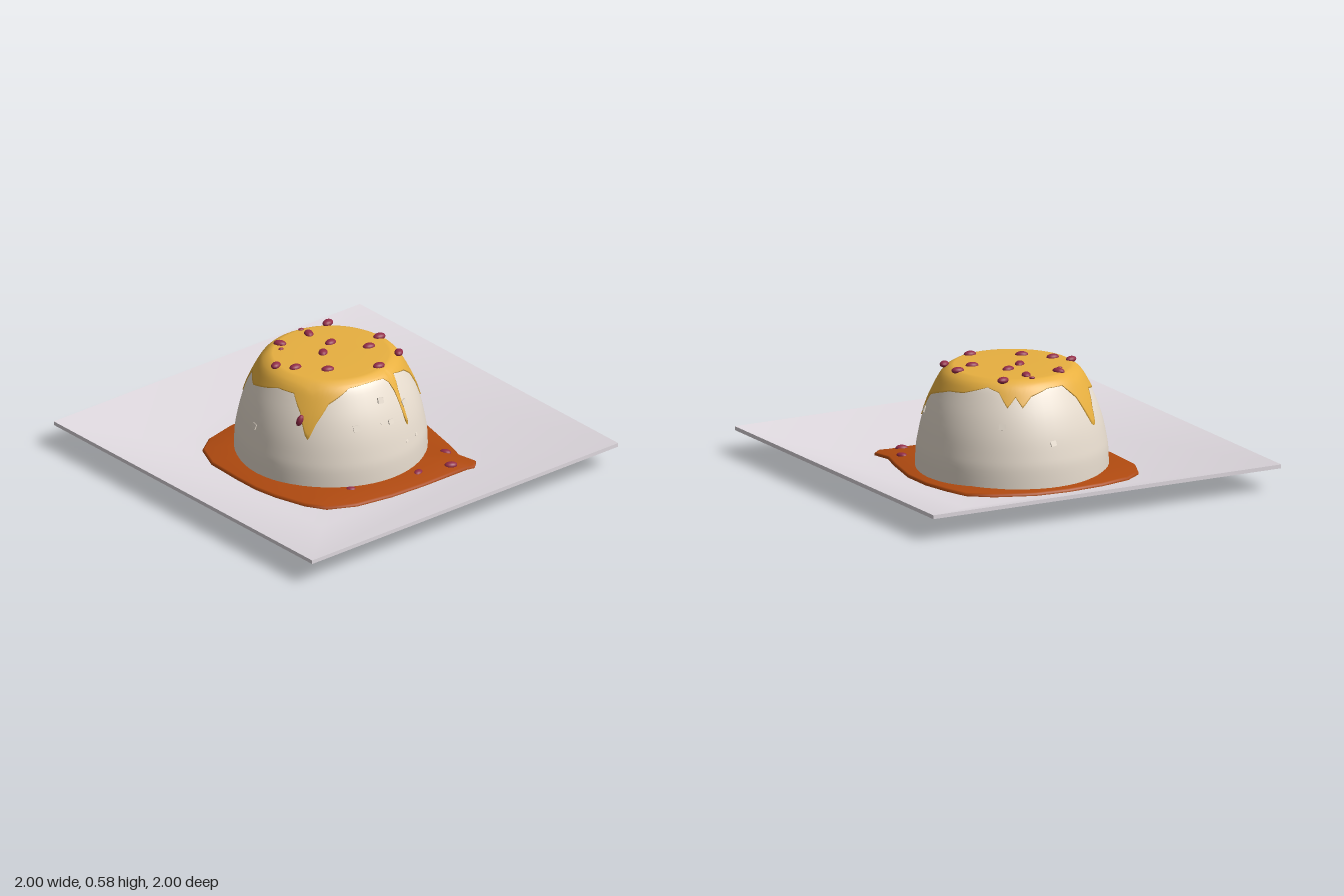
import * as THREE from 'three';

const CZ = -0.04; // pudding centre along z
const rad = THREE.MathUtils.degToRad;
const V = (x, y, z) => new THREE.Vector3(x, y, z);
const mat = (color) => new THREE.MeshStandardMaterial({ color, roughness: 0.7 });

// Piecewise linear lookup in [[key, value], ...]
function lookup(table, k) {
  let i = 1;
  while (i < table.length - 1 && table[i][0] < k) i++;
  const [k0, v0] = table[i - 1], [k1, v1] = table[i];
  return THREE.MathUtils.lerp(v0, v1, THREE.MathUtils.clamp((k - k0) / (k1 - k0), 0, 1));
}

// Skin closed rings, ordered from the outer bottom up and inwards
function loft(rings) {
  const n = rings[0].length, idx = [];
  for (let i = 0; i < rings.length - 1; i++) {
    for (let j = 0; j < n; j++) {
      const a = i * n + j, b = i * n + (j + 1) % n;
      idx.push(a, b, b + n, a, b + n, a + n);
    }
  }
  const g = new THREE.BufferGeometry().setFromPoints(rings.flat());
  g.setIndex(idx);
  g.computeVertexNormals();
  return g;
}

// Pudding wall: height -> radius
const wall = new THREE.SplineCurve(
  [[0.485, 0.02], [0.482, 0.13], [0.472, 0.2], [0.45, 0.3], [0.415, 0.4], [0.365, 0.5], [0.335, 0.54], [0.305, 0.559]]
    .map(([r, y]) => new THREE.Vector2(r, y))
).getPoints(28);
const wallTable = wall.map((p) => [p.y, p.x]);
const radiusAt = (y) => lookup(wallTable, y);

// Lower edge of the topping: angle from the front towards +x -> height
const dripEdge = [
  [0, 0.54], [9, 0.535], [13, 0.51], [15, 0.46], [16, 0.31], [17, 0.29], [18, 0.31], [19, 0.46], [23, 0.53],
  [40, 0.5], [50, 0.45], [55, 0.38], [57, 0.31], [58, 0.3], [59, 0.31], [61, 0.38], [66, 0.42], [80, 0.45],
  [95, 0.48], [110, 0.49], [130, 0.53], [140, 0.51], [147, 0.44], [153, 0.49], [158, 0.44], [165, 0.49],
  [180, 0.52], [195, 0.52], [205, 0.45], [210, 0.36], [213, 0.31], [215, 0.3], [217, 0.31], [220, 0.38],
  [228, 0.46], [245, 0.44], [260, 0.47], [275, 0.5], [290, 0.5], [298, 0.42], [303, 0.32], [305, 0.3],
  [306, 0.31], [310, 0.38], [318, 0.47], [335, 0.535], [350, 0.54], [360, 0.54],
];

// Sauce pool outline as x, z
const poolOutline = [
  [-0.57, -0.1], [-0.56, -0.3], [-0.5, -0.44], [-0.4, -0.51], [-0.23, -0.55], [-0.03, -0.565], [0.15, -0.55],
  [0.35, -0.47], [0.46, -0.38], [0.5, -0.25], [0.53, -0.1], [0.53, 0.08], [0.48, 0.3], [0.44, 0.44],
  [0.46, 0.54], [0.42, 0.575], [0.38, 0.565], [0.1, 0.565], [-0.1, 0.555], [-0.3, 0.52], [-0.44, 0.45],
  [-0.5, 0.35], [-0.55, 0.18], [-0.57, 0.05],
].reverse();

export function createModel() {
  const model = new THREE.Group();
  const add = (name, geometry, material, parent = model) => {
    const m = new THREE.Mesh(geometry, material);
    m.name = name;
    parent.add(m);
    return m;
  };

  // Shallow square plate with sloping sides
  const square = ([h, y]) => [V(h, y, h), V(h, y, -h), V(-h, y, -h), V(-h, y, h)];
  const plate = new THREE.Group();
  plate.name = 'plate';
  model.add(plate);
  const plateMat = mat(0xe0dae0);
  const rimMat = mat(0xe0dae0);
  rimMat.flatShading = true;
  add('plateUnderside', loft([[0, 0], [0.575, 0], [1, 0.115]].map(square)), plateMat, plate);
  add('plateRim', loft([[1, 0.115], [1, 0.135]].map(square)), rimMat, plate);
  add('plateTop', loft([[1, 0.135], [0.575, 0.02], [0, 0.02]].map(square)), plateMat, plate);

  // Sauce pool, rising a little towards the pudding
  const pool = [[1, 0.02], [1, 0.03], [0.985, 0.037], [0.8, 0.055], [0.6, 0.06]]
    .map(([s, y]) => poolOutline.map(([x, z]) => V(x * s, y, z * s)));
  add('saucePool', loft(pool), mat(0xb04a10));

  // Pudding body
  const bodyMat = mat(0xe8ddcf);
  const body = add('pudding', new THREE.LatheGeometry([...wall, new THREE.Vector2(0, 0.56)], 56), bodyMat);
  body.position.z = CZ;

  // Topping that follows the wall down to the drip edge
  const angles = Array.from({ length: 360 }, (_, i) => i);
  const polar = (a, r, y) => V(r * Math.sin(rad(a)), y, r * Math.cos(rad(a)));
  const rows = [];
  for (let t = -1; t <= 10; t++) {
    rows.push(angles.map((a) => {
      const y = THREE.MathUtils.lerp(lookup(dripEdge, a), 0.55, Math.max(t, 0) / 10);
      return polar(a, radiusAt(y) + (t < 0 ? -0.004 : 0.005), y);
    }));
  }
  for (const [r, y] of [[0.308, 0.561], [0.29, 0.565], [0.15, 0.566], [0, 0.566]]) {
    rows.push(angles.map((a) => polar(a, r, y)));
  }
  const topping = add('topping', loft(rows), mat(0xe8b040));
  topping.position.z = CZ;

  // Berries: x, y, z, turn, size
  const berryGeo = new THREE.SphereGeometry(1, 16, 10).scale(0.033, 0.017, 0.023);
  const berryMat = mat(0x922c48);
  const T = 0.566, S = 0.055;
  const berries = [
    [-0.13, T, -0.28, -60, 1], [0.05, T, -0.27, 65, 1], [0.2, T, -0.3, 15, 1], [-0.3, T, -0.11, 20, 0.95],
    [0.07, T, -0.125, 10, 1], [-0.03, T, -0.065, 45, 1], [-0.24, T, -0.03, -5, 1], [0.3, T, -0.02, -10, 1],
    [0.19, T, 0.03, -15, 1], [-0.13, T, 0.09, -25, 1], [0.275, 0.555, 0.16, 40, 0.95], [0.09, T, 0.225, -5, 1],
    [0.05, T, -0.33, -20, 0.45], [-0.165, T, -0.23, 0, 0.45],
    [-0.24, S - 0.005, 0.4, -40, 0.8], [0.14, S - 0.01, 0.47, 20, 0.9], [0.39, S - 0.01, 0.385, -65, 0.9],
    [0.32, S - 0.01, 0.51, -25, 1],
  ];
  for (const [x, y, z, turn, size] of berries) {
    const b = add('berry', berryGeo, berryMat);
    b.position.set(x, y, z);
    b.rotation.y = rad(turn);
    b.scale.setScalar(size);
  }
  // One berry sliding down the side
  const slider = add('slidingBerry', berryGeo, berryMat);
  slider.position.set(-0.37, 0.385, 0.16);
  slider.rotation.set(0, rad(-60), rad(70), 'YXZ');

  // Small chips in the pudding wall: angle, height, size
  const chipGeo = new THREE.BoxGeometry(0.034, 0.03, 0.02);
  const chips = [
    [-1, 0.45, 1], [-23, 0.35, 1], [-4, 0.35, 0.5], [3, 0.34, 0.9], [20, 0.39, 1.1], [14, 0.21, 0.5], [65, 0.34, 1],
    [25, 0.21, 0.5], [144, 0.35, 1], [177, 0.26, 0.9], [263, 0.28, 0.9],
  ];
  for (const [a, y, size] of chips) {
    const c = add('chip', chipGeo, bodyMat);
    c.position.copy(polar(a, radiusAt(y) - 0.004, y));
    c.position.z += CZ;
    c.rotation.set(-0.35, rad(a), 0.15 * Math.sin(a), 'YXZ');
    c.scale.setScalar(size);
  }
  return model;
}
